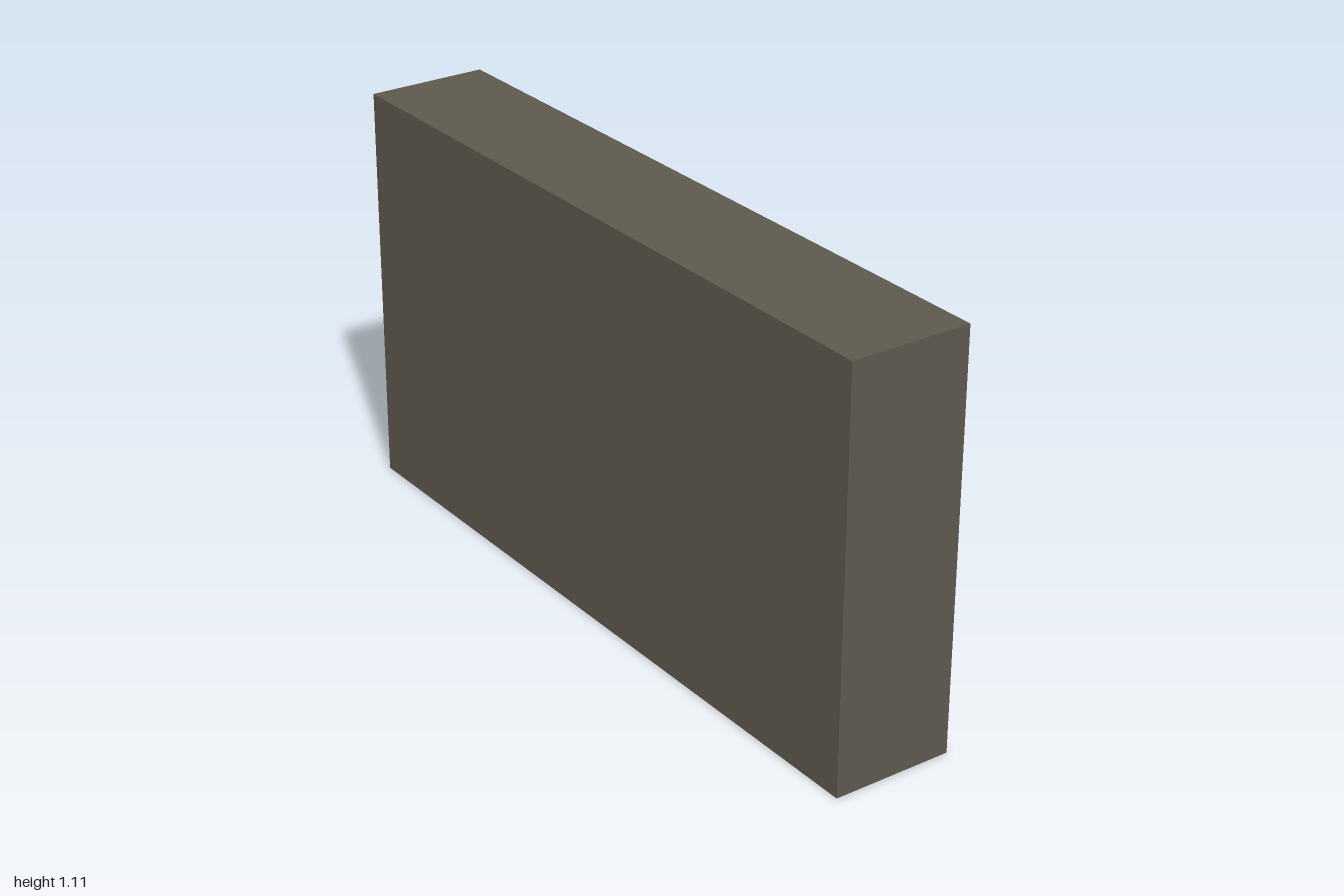
import * as THREE from 'three';

const HEIGHT = 1.11, LENGTH = 2, DEPTH = 0.33;
const BACK = 0.07;          // back panel thickness
const WALL = 0.05;          // upright thickness
const COLUMNS = 5;
const ROWS = [[0.062, 0.337], [0.384, 0.647], [0.698, 1.052]]; // bottom and top of each row

function rectangle(target, x0, y0, x1, y1) {
  target.moveTo(x0, y0);
  target.lineTo(x1, y0);
  target.lineTo(x1, y1);
  target.lineTo(x0, y1);
  target.closePath();
  return target;
}

export function createModel() {
  const group = new THREE.Group();
  group.name = 'cubbyShelf';

  const darkWood = new THREE.MeshStandardMaterial({ color: 0x5e594e });
  darkWood.name = 'darkWood';

  // Outer frame, uprights and shelves as one pierced slab
  const outline = rectangle(new THREE.Shape(), -LENGTH / 2, 0, LENGTH / 2, HEIGHT);
  const cell = (LENGTH - WALL * (COLUMNS + 1)) / COLUMNS;
  for (let i = 0; i < COLUMNS; i++) {
    const start = -LENGTH / 2 + WALL + i * (cell + WALL);
    for (const [low, high] of ROWS) {
      outline.holes.push(rectangle(new THREE.Path(), start, low, start + cell, high));
    }
  }
  const frameGeometry = new THREE.ExtrudeGeometry(outline, { depth: DEPTH - BACK, bevelEnabled: false });
  frameGeometry.rotateY(Math.PI / 2); // openings face +x
  const frame = new THREE.Mesh(frameGeometry, darkWood);
  frame.name = 'shelfFrame';
  frame.position.x = -DEPTH / 2 + BACK;
  group.add(frame);

  // Closed back
  const back = new THREE.Mesh(new THREE.BoxGeometry(BACK, HEIGHT, LENGTH), darkWood);
  back.name = 'backPanel';
  back.position.set(-DEPTH / 2 + BACK / 2, HEIGHT / 2, 0);
  group.add(back);

  return group;
}
